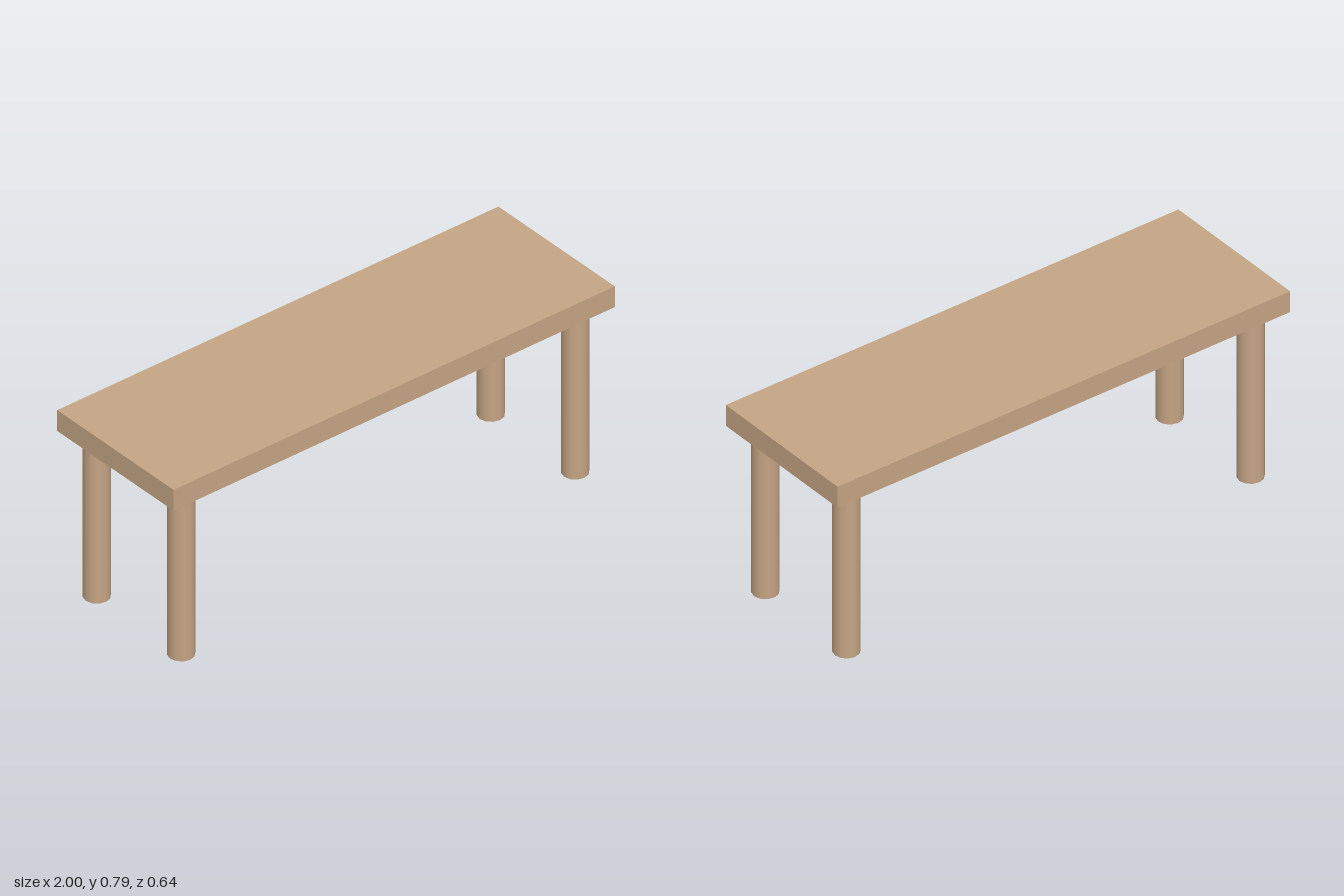
import * as THREE from 'three';

const TOP_Y = 0.786;
const LEG_HEIGHT = 0.698;
const LEG_RADIUS = 0.05;

export function createModel() {
  const bench = new THREE.Group();
  bench.name = 'bench';
  const wood = new THREE.MeshStandardMaterial({ color: 0xc4a484 });

  // Flat slab seat
  const thickness = TOP_Y - LEG_HEIGHT;
  const seat = new THREE.Mesh(new THREE.BoxGeometry(2, thickness, 0.643), wood);
  seat.name = 'seat';
  seat.position.y = LEG_HEIGHT + thickness / 2;
  bench.add(seat);

  // Four round legs, one near each corner
  const legGeometry = new THREE.CylinderGeometry(LEG_RADIUS, LEG_RADIUS, LEG_HEIGHT, 12);
  for (const [zName, z] of [['front', 0.233], ['back', -0.233]]) {
    for (const [xName, x] of [['Left', 0.893], ['Right', -0.893]]) {
      const leg = new THREE.Mesh(legGeometry, wood);
      leg.name = `${zName}${xName}Leg`;
      leg.position.set(x, LEG_HEIGHT / 2, z);
      bench.add(leg);
    }
  }
  return bench;
}
